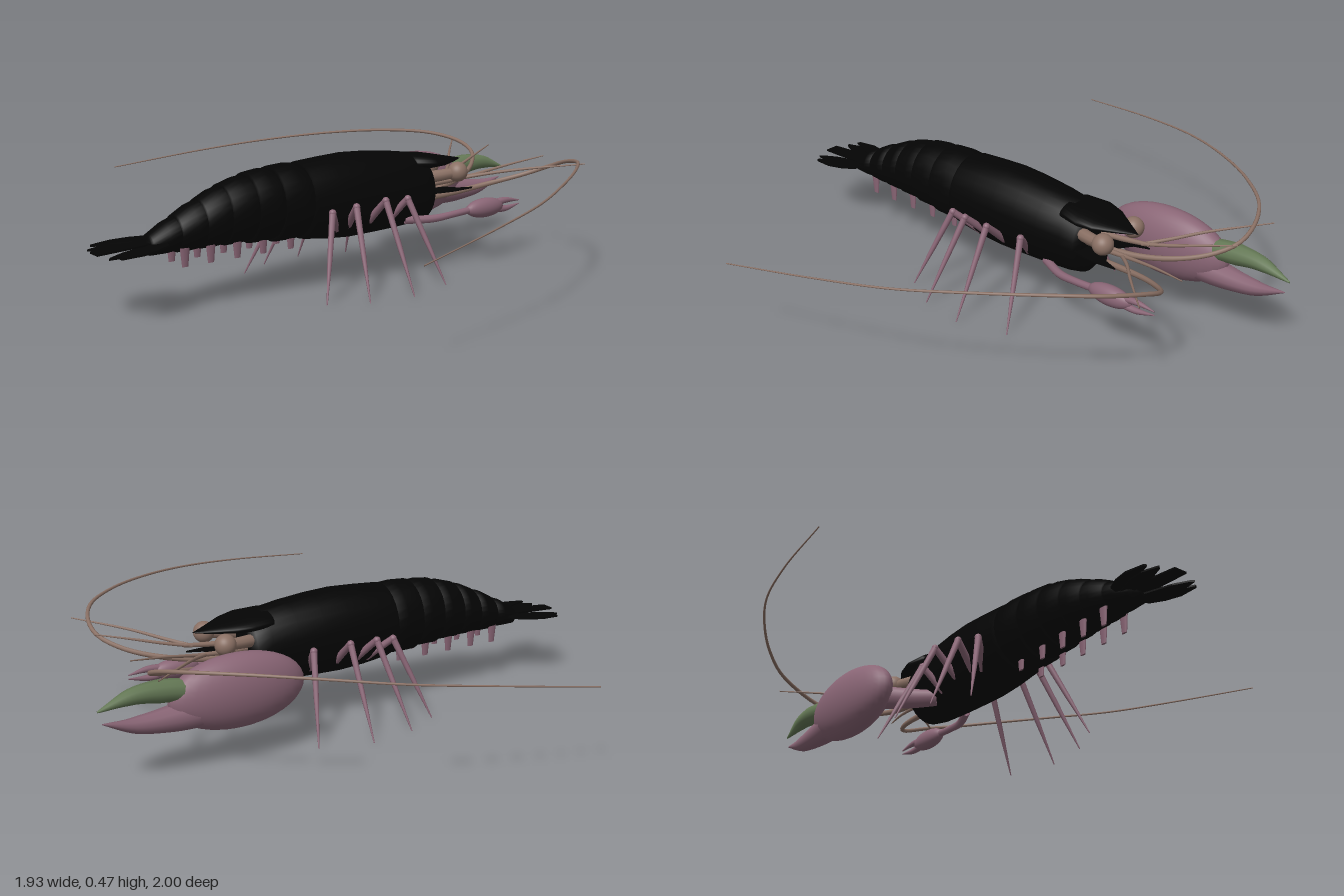
import * as THREE from 'three';

const mat = (name, color) => Object.assign(new THREE.MeshStandardMaterial({ color, side: THREE.DoubleSide }), { name });
const V = (p) => new THREE.Vector3(...p);

// Closed shell through oval rings [z, top y, bottom y, half width]
function loft(rings, sides = 28) {
  const pos = [], index = [];
  rings.forEach(([z, top, bottom, w], i) => {
    for (let j = 0; j < sides; j++) {
      const a = (j / sides) * Math.PI * 2;
      pos.push(w * Math.cos(a), (top + bottom) / 2 + ((top - bottom) / 2) * Math.sin(a), z);
      if (i === rings.length - 1) continue;
      const k = (j + 1) % sides, r = i * sides, n = r + sides;
      index.push(r + j, r + k, n + j, r + k, n + k, n + j);
    }
  });
  const geo = new THREE.BufferGeometry();
  geo.setAttribute('position', new THREE.Float32BufferAttribute(pos, 3));
  geo.setIndex(index);
  geo.computeVertexNormals();
  return geo;
}

// Tube along points whose radius follows a list of values; the end rings close to a point as caps
function taper(points, radii, steps = 24, sides = 10) {
  const curve = new THREE.CatmullRomCurve3(points.map(V));
  const geo = new THREE.TubeGeometry(curve, steps, 1, sides);
  const pos = geo.attributes.position, v = new THREE.Vector3();
  for (let i = 0; i <= steps; i++) {
    const u = THREE.MathUtils.clamp((i - 1) / (steps - 2), 0, 1);
    const from = curve.getPointAt(i / steps), to = curve.getPointAt(u);
    const f = u * (radii.length - 1), k = Math.min(Math.floor(f), radii.length - 2);
    const r = i % steps === 0 ? 0 : THREE.MathUtils.lerp(radii[k], radii[k + 1], f - k);
    for (let j = 0; j <= sides; j++) {
      const n = i * (sides + 1) + j;
      v.fromBufferAttribute(pos, n).sub(from).multiplyScalar(r).add(to);
      pos.setXYZ(n, v.x, v.y, v.z);
    }
  }
  return geo;
}

// Thin horizontal plate from an x-z outline
function plate(outline) {
  const shape = new THREE.Shape(outline.map(([x, z]) => new THREE.Vector2(x, z)));
  return new THREE.ExtrudeGeometry(shape, { depth: 0.006, bevelEnabled: false }).rotateX(Math.PI / 2);
}

export function createModel() {
  const model = new THREE.Group();
  model.name = 'shrimp';
  const shell = mat('blackShell', 0x040404);
  const pink = mat('mauveLimb', 0x896575);
  const brown = mat('brownEye', 0x8a7064);
  const green = mat('greenFinger', 0x647855);

  const add = (name, geo, material) => {
    const mesh = new THREE.Mesh(geo, material);
    mesh.name = name;
    model.add(mesh);
    return mesh;
  };
  const ball = (name, material, p, s) => {
    const mesh = add(name, new THREE.SphereGeometry(1, 32, 20), material);
    mesh.position.set(...p);
    mesh.scale.set(...s);
  };

  // Carapace and pointed rostrum
  add('carapace', loft([
    [-0.37, 0.30, 0.30, 0], [-0.368, 0.38, 0.21, 0.07], [-0.35, 0.41, 0.175, 0.1],
    [-0.3, 0.435, 0.165, 0.113], [-0.2, 0.45, 0.16, 0.126], [-0.1, 0.46, 0.157, 0.133],
    [0, 0.465, 0.155, 0.136], [0.1, 0.46, 0.162, 0.134], [0.2, 0.453, 0.175, 0.128],
    [0.225, 0.445, 0.185, 0.12], [0.226, 0.31, 0.31, 0],
  ]), shell);
  add('rostrum', loft([
    [-0.281, 0.4, 0.4, 0], [-0.28, 0.434, 0.37, 0.085], [-0.36, 0.427, 0.37, 0.1], [-0.42, 0.415, 0.372, 0.085],
    [-0.46, 0.406, 0.375, 0.06], [-0.5, 0.398, 0.377, 0.035], [-0.555, 0.386, 0.386, 0],
  ]), shell);

  // Overlapping tail segments: [start z, end z, start top, end top, bottom, start width, end width]
  [
    [0.18, 0.33, 0.447, 0.447, 0.182, 0.124, 0.118],
    [0.30, 0.43, 0.442, 0.436, 0.191, 0.115, 0.109],
    [0.40, 0.53, 0.433, 0.408, 0.198, 0.107, 0.097],
    [0.50, 0.62, 0.411, 0.369, 0.2, 0.096, 0.082],
    [0.59, 0.71, 0.374, 0.326, 0.2, 0.083, 0.065],
    [0.68, 0.81, 0.331, 0.272, 0.203, 0.067, 0.044],
  ].forEach(([z0, z1, t0, t1, b, w0, w1], i) => {
    const m = (z0 + z1) / 2;
    add('tailSegment' + (i + 1), loft([
      [z0 - 0.001, (t0 + b) / 2, (t0 + b) / 2, 0],
      [z0, t0, b + 0.006, w0], [m, (t0 + t1) / 2 + 0.007, b, (w0 + w1) / 2 + 0.003],
      [z1 - 0.008, t1 + 0.003, b, w1 + 0.001], [z1, t1 - 0.006, b + 0.009, w1 - 0.005],
      [z1 + 0.008, (t1 + b) / 2, (t1 + b) / 2, 0],
    ]), shell);
  });

  // Tail fan
  const fan = new THREE.Group();
  fan.name = 'tailFan';
  fan.position.set(0, 0.25, 0.78);
  fan.rotation.x = 0.06;
  const fanPlate = (name, pts, y) => {
    const mesh = new THREE.Mesh(plate(pts), shell);
    mesh.name = name;
    mesh.position.y = y;
    fan.add(mesh);
  };
  fanPlate('telson', [[-0.038, -0.02], [0.038, -0.02], [0.026, 0.22], [-0.026, 0.22]], 0.003);
  for (const s of [1, -1]) {
    const flip = (pts) => pts.map(([x, z]) => [s * x, z]);
    fanPlate('outerTailBlade', flip([[0.01, -0.01], [0.05, -0.02], [0.085, -0.01], [0.11, 0.04],
      [0.124, 0.1], [0.116, 0.175], [0.105, 0.18], [0.08, 0.12]]), 0);
    fanPlate('innerTailBlade', flip([[0.01, -0.01], [0.05, 0], [0.085, 0.08], [0.093, 0.14],
      [0.078, 0.205], [0.066, 0.195], [0.042, 0.14]]), -0.003);
  }
  model.add(fan);

  for (const s of [1, -1]) {
    const m = (pts) => pts.map(([x, y, z]) => [s * x, y, z]);
    const side = s > 0 ? 'left' : 'right';

    // Eyes on stalks
    ball(side + 'Eye', brown, [s * 0.084, 0.353, -0.47], [0.038, 0.038, 0.038]);
    add(side + 'EyeStalk', taper(m([[0.05, 0.34, -0.34], [0.068, 0.345, -0.4], [0.08, 0.35, -0.46]]), [0.024, 0.02]), brown);

    // Antenna scales below the eyes
    add(side + 'AntennaScale', plate([[0.02, -0.34], [0.095, -0.34], [0.106, -0.44], [0.096, -0.535],
      [0.075, -0.48], [0.03, -0.45]].map(([x, z]) => [s * x, z])), shell).position.y = 0.29;

    // Long sweeping antennae and two short feelers
    add(side + 'Antenna', taper(m([[0.045, 0.26, -0.35], [0.05, 0.268, -0.5], [0.09, 0.293, -0.65],
      [0.15, 0.322, -0.75], [0.22, 0.356, -0.808], [0.3, 0.386, -0.81], [0.42, 0.41, -0.755],
      [0.55, 0.417, -0.62], [0.68, 0.408, -0.43], [0.8, 0.386, -0.2], [0.885, 0.357, 0.07], [0.965, 0.313, 0.425]]),
      [0.013, 0.009, 0.007, 0.005, 0.004, 0.003, 0.002], 72, 8), brown);
    add(side + 'FeelerBase', taper(m([[0.04, 0.31, -0.35], [0.05, 0.315, -0.45], [0.06, 0.325, -0.56]]), [0.01, 0.01, 0.007]), brown);
    add(side + 'OuterFeeler', taper(m([[0.055, 0.32, -0.53], [0.12, 0.338, -0.6], [0.22, 0.36, -0.69],
      [0.378, 0.385, -0.845]]), [0.007, 0.005, 0.002]), brown);
    add(side + 'InnerFeeler', taper(m([[0.055, 0.32, -0.53], [0.08, 0.34, -0.63], [0.11, 0.36, -0.72],
      [0.157, 0.385, -0.845]]), [0.007, 0.005, 0.002]), brown);

    // Walking legs: hip, knee, foot
    [
      [[0.08, 0.21, -0.14], [0.16, 0.3, -0.168], [0.303, 0, -0.232]],
      [[0.08, 0.21, -0.04], [0.195, 0.315, -0.04], [0.358, 0, -0.042]],
      [[0.08, 0.21, 0.045], [0.18, 0.305, 0.078], [0.332, 0, 0.132]],
      [[0.08, 0.21, 0.095], [0.155, 0.29, 0.163], [0.262, 0, 0.265]],
    ].forEach(([hip, knee, foot], i) => {
      const name = side + 'Leg' + (i + 1);
      add(name + 'Upper', taper(m([hip, knee]), [0.015, 0.012], 6), pink);
      add(name + 'Lower', taper(m([knee, foot]), [0.012, 0.009, 0.002], 10), pink);
      ball(name + 'Knee', pink, [s * knee[0], knee[1], knee[2]], [0.013, 0.013, 0.013]);
    });

    // Swimming paddles under the tail
    [0.265, 0.38, 0.485, 0.59, 0.69].forEach((z, i) => {
      const paddle = add(side + 'Paddle' + (i + 1), new THREE.CylinderGeometry(0.019, 0.012, 0.065, 10), pink);
      paddle.scale.x = 0.35;
      paddle.position.set(s * 0.045, 0.189, z);
    });
  }

  // Large claw on the right
  add('bigClawArm', taper([[-0.07, 0.21, -0.2], [-0.14, 0.21, -0.26], [-0.22, 0.225, -0.35]], [0.03, 0.038, 0.045]), pink);
  ball('bigClawPalm', pink, [-0.245, 0.25, -0.51], [0.08, 0.13, 0.25]);
  add('bigClawFixedFinger', taper([[-0.245, 0.21, -0.62], [-0.245, 0.198, -0.74], [-0.245, 0.2, -0.88],
    [-0.245, 0.224, -0.985]], [0.06, 0.046, 0.03, 0.002]), pink);
  add('bigClawMovingFinger', taper([[-0.245, 0.285, -0.69], [-0.245, 0.297, -0.77], [-0.245, 0.299, -0.88],
    [-0.245, 0.268, -1]], [0.038, 0.039, 0.026, 0.003]), green);

  // Small claw on the left
  add('smallClawArm', taper([[0.08, 0.2, -0.22], [0.125, 0.2, -0.32], [0.14, 0.208, -0.4], [0.145, 0.215, -0.48]],
    [0.016, 0.015, 0.013, 0.013]), pink);
  ball('smallClawPalm', pink, [0.145, 0.215, -0.555], [0.032, 0.037, 0.09]);
  for (const s of [1, -1]) {
    add(s > 0 ? 'smallClawUpperFinger' : 'smallClawLowerFinger', taper([[0.145, 0.215 + s * 0.01, -0.6],
      [0.145, 0.215 + s * 0.016, -0.66], [0.142, 0.215 + s * 0.007, -0.735]], [0.016, 0.011, 0.002]), pink);
  }
  return model;
}
